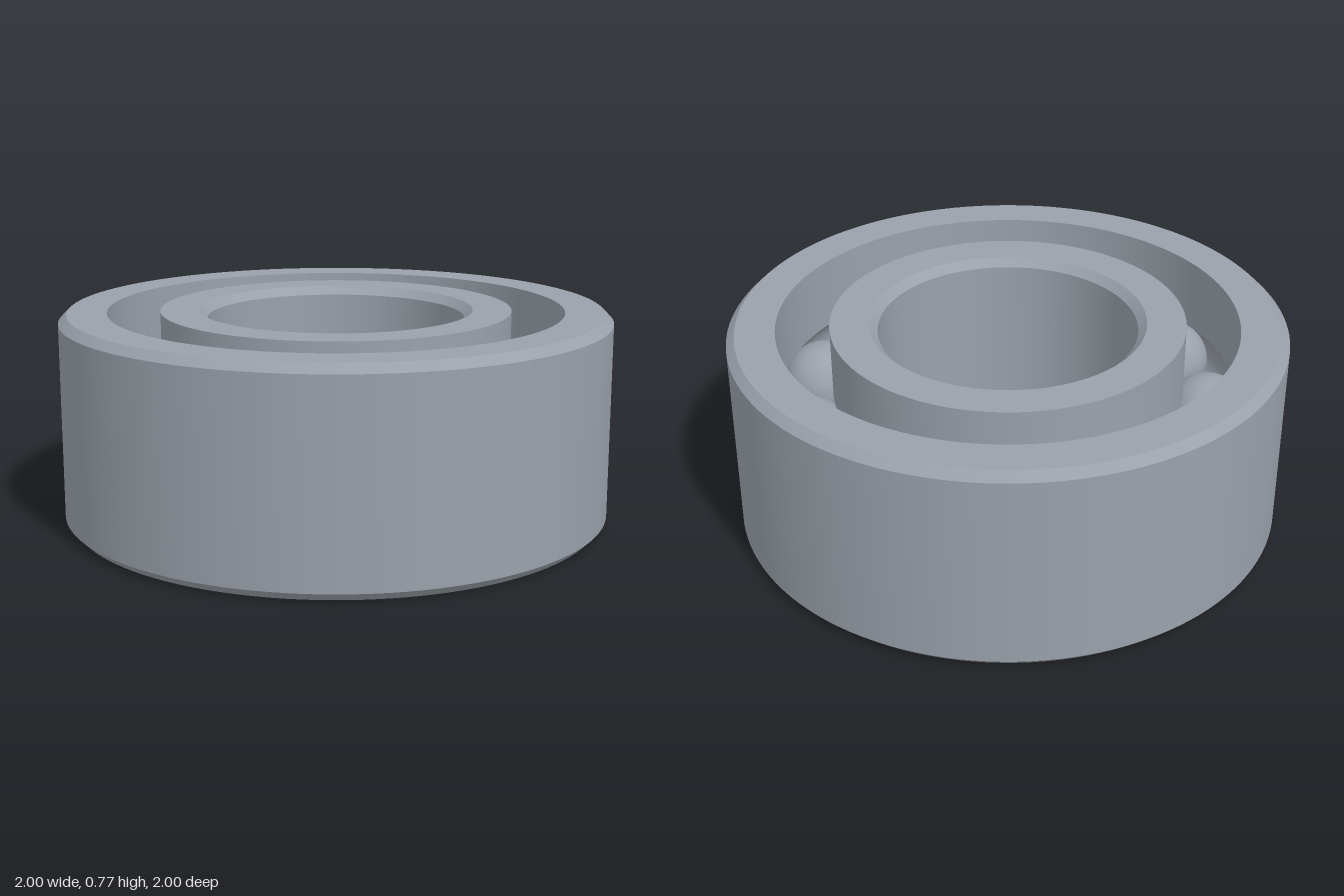
import * as THREE from 'three';
import { toCreasedNormals } from 'three/addons/utils/BufferGeometryUtils.js';

const HEIGHT = 0.768, MID = HEIGHT / 2, CHAMFER = 0.03;
const OUTER = 1, OUTER_LIP = 0.827, INNER_LIP = 0.636, BORE = 0.466;
const PITCH = (OUTER_LIP + INNER_LIP) / 2;
const BALL_RADIUS = 0.15, GROOVE_RADIUS = 0.151, BALLS = 11;

// Half-round raceway; side is +1 for the outer ring, -1 for the inner ring
function groove(side, from, to) {
  const points = [];
  for (let i = 0; i <= 14; i++) {
    const a = from + (to - from) * i / 14;
    points.push([PITCH + side * GROOVE_RADIUS * Math.cos(a), MID + GROOVE_RADIUS * Math.sin(a)]);
  }
  return points;
}

// Revolves a closed counter-clockwise (radius, height) profile
function ring(name, profile, material) {
  const points = [...profile, profile[0]].map(([r, y]) => new THREE.Vector2(r, y));
  const geometry = toCreasedNormals(new THREE.LatheGeometry(points, 128), 0.45);
  const mesh = new THREE.Mesh(geometry, material);
  mesh.name = name;
  return mesh;
}

export function createModel() {
  const model = new THREE.Group();
  model.name = 'ballBearing';
  const steel = new THREE.MeshStandardMaterial({ color: 0x9aa1ab });
  steel.name = 'steel grey';

  const spread = Math.acos((OUTER_LIP - PITCH) / GROOVE_RADIUS);

  // Outer ring: chamfered outside, raceway inside
  model.add(ring('outerRing', [
    [OUTER_LIP, 0], [OUTER - CHAMFER, 0], [OUTER, CHAMFER],
    [OUTER, HEIGHT - CHAMFER], [OUTER - CHAMFER, HEIGHT], [OUTER_LIP, HEIGHT],
    ...groove(1, spread, -spread),
  ], steel));

  // Inner ring: raceway outside, chamfered bore
  model.add(ring('innerRing', [
    [BORE + CHAMFER, 0], [INNER_LIP, 0],
    ...groove(-1, -spread, spread),
    [INNER_LIP, HEIGHT], [BORE + CHAMFER, HEIGHT],
    [BORE, HEIGHT - CHAMFER], [BORE, CHAMFER],
  ], steel));

  // Balls evenly spaced along the raceway
  const balls = new THREE.Group();
  balls.name = 'balls';
  const ballGeometry = new THREE.SphereGeometry(BALL_RADIUS, 40, 24);
  for (let i = 0; i < BALLS; i++) {
    const a = THREE.MathUtils.degToRad(3.8) + i * 2 * Math.PI / BALLS;
    const ball = new THREE.Mesh(ballGeometry, steel);
    ball.name = `ball${i + 1}`;
    ball.position.set(PITCH * Math.sin(a), MID, -PITCH * Math.cos(a));
    balls.add(ball);
  }
  model.add(balls);
  return model;
}
